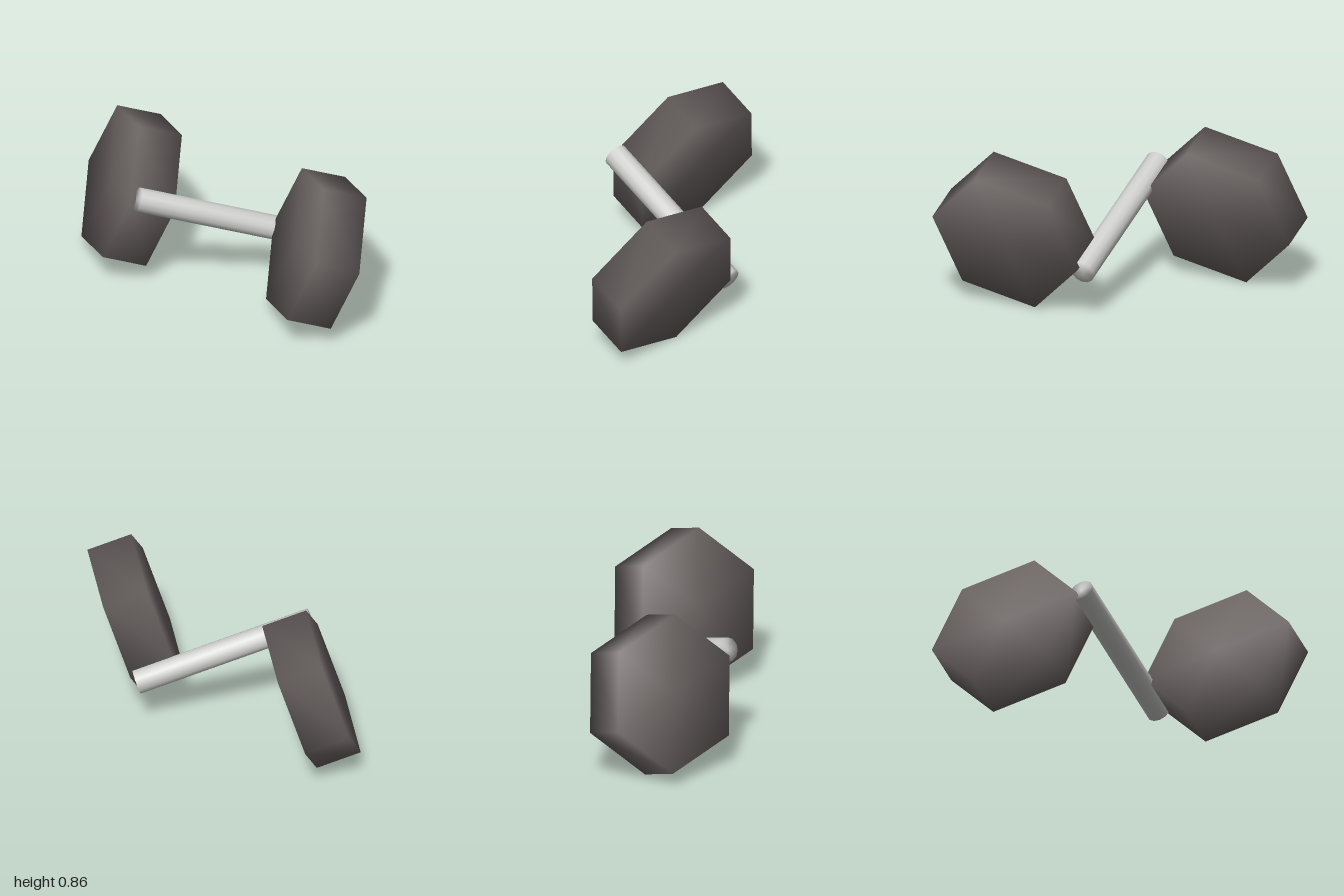
import * as THREE from 'three';
import { mergeVertices } from 'three/addons/utils/BufferGeometryUtils.js';

// Cylinder with normals blended over every edge, caps included
function softCylinder(radius, length, sides) {
  const geo = new THREE.CylinderGeometry(radius, radius, length, sides);
  geo.deleteAttribute('normal');
  geo.deleteAttribute('uv');
  const merged = mergeVertices(geo, 1e-4);
  merged.computeVertexNormals();
  return merged;
}

export function createModel() {
  const group = new THREE.Group();
  group.name = 'dumbbell';

  const iron = new THREE.MeshStandardMaterial({ color: 0x6a6362 });
  iron.name = 'dark iron';
  const steel = new THREE.MeshStandardMaterial({ color: 0xcfcfce });
  steel.name = 'light steel';

  // Shared tilt: the axis of the bar and the direction of one hexagon corner
  const axis = new THREE.Vector3(0.664, -0.324, -0.677).normalize();
  const corner = new THREE.Vector3(0.32, 0.1, 0.265).normalize();
  const across = new THREE.Vector3().crossVectors(axis, corner).normalize();
  corner.crossVectors(across, axis);
  const tilt = new THREE.Matrix4().makeBasis(across, axis, corner);

  function addPart(name, geometry, material, x) {
    const mesh = new THREE.Mesh(geometry, material);
    mesh.name = name;
    mesh.quaternion.setFromRotationMatrix(tilt);
    mesh.position.set(x, 0.434, 0);
    group.add(mesh);
  }

  // Hexagonal weights, set apart sideways
  const weight = softCylinder(0.427, 0.25, 6);
  addPart('leftWeight', weight, iron, 0.598);
  addPart('rightWeight', weight, iron, -0.598);

  // Round handle between them
  addPart('handle', softCylinder(0.067, 0.994, 12), steel, 0);

  return group;
}
